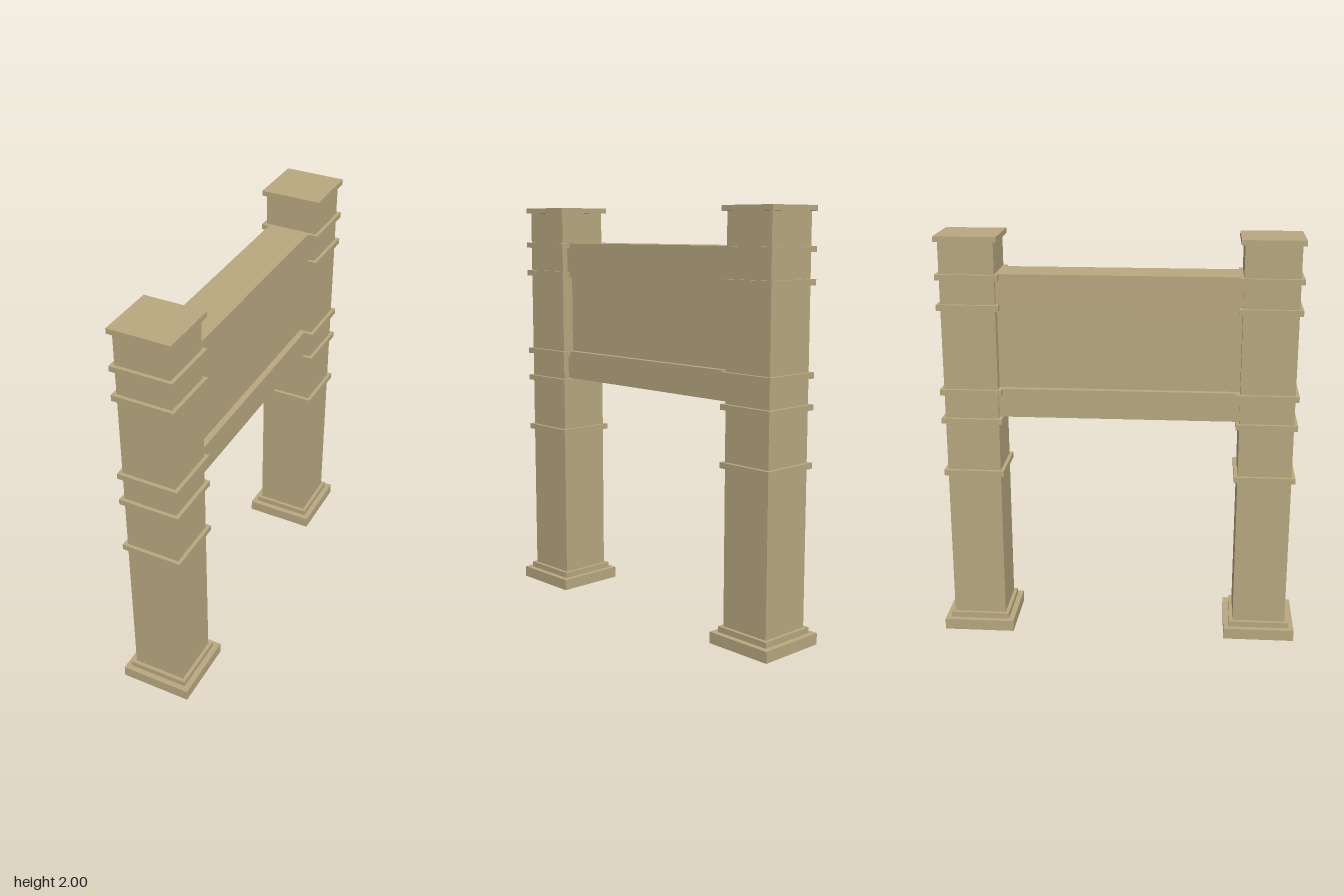
import * as THREE from 'three';

export function createModel() {
  const model = new THREE.Group();
  model.name = 'pillarGate';
  const stone = new THREE.MeshStandardMaterial({ color: 0xb8a880 });
  stone.name = 'sandstone';

  // Box given by its width, depth and bottom / top heights
  function block(parent, name, width, depth, bottom, top, x = 0) {
    const mesh = new THREE.Mesh(new THREE.BoxGeometry(width, top - bottom, depth), stone);
    mesh.name = name;
    mesh.position.set(x, (bottom + top) / 2, 0);
    parent.add(mesh);
  }

  // Raised bands around each pillar: bottom, top
  const bands = [[0.83, 0.857], [1.097, 1.123], [1.24, 1.268], [1.652, 1.68], [1.797, 1.823]];

  // Two square pillars
  for (const side of [1, -1]) {
    const pillar = new THREE.Group();
    pillar.name = side > 0 ? 'frontPillar' : 'backPillar';
    pillar.position.z = side * 0.708;
    block(pillar, 'plinth', 0.35, 0.35, 0, 0.055);
    block(pillar, 'baseStep', 0.295, 0.295, 0.055, 0.083);
    block(pillar, 'shaft', 0.26, 0.26, 0.083, 1.975);
    bands.forEach(([bottom, top]) => block(pillar, 'band', 0.295, 0.295, bottom, top));
    block(pillar, 'cap', 0.295, 0.295, 1.975, 2);
    model.add(pillar);
  }

  // Crossbeam: recessed panel between a lower and an upper rail
  const beam = new THREE.Group();
  beam.name = 'crossbeam';
  block(beam, 'lowerRail', 0.21, 1.17, 1.128, 1.268, -0.005);
  block(beam, 'panel', 0.15, 1.17, 1.268, 1.652, -0.005);
  block(beam, 'upperRail', 0.21, 1.17, 1.652, 1.823, -0.005);
  model.add(beam);

  return model;
}
